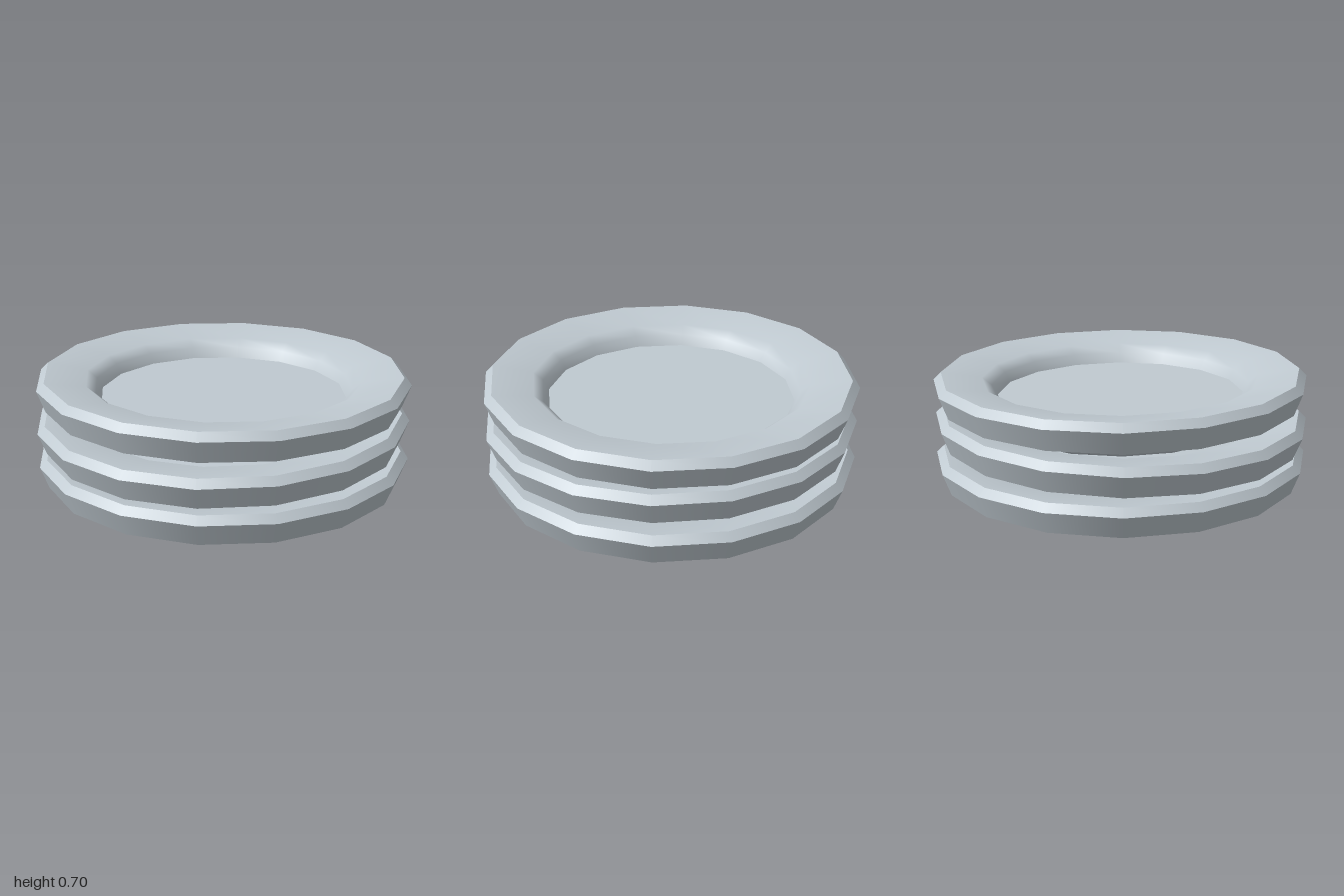
import * as THREE from 'three';

const SIDES = 16;
// Radii are measured to the flats; scale them out to the corners.
const CORNER = 1 / Math.cos(Math.PI / SIDES);

// Profile runs from the underside, around the rim and back to the centre.
// Each run is smooth in itself, with a sharp crease between runs.
const RUNS = [
  ['base', [[0, 0], [0.66, 0]]],
  ['foot', [[0.66, 0], [0.8, 0.11]]],
  ['rimUnderside', [[0.8, 0.11], [0.955, 0.11]]],
  ['rimSide', [[0.955, 0.11], [1, 0.23]]],
  ['rimBevel', [[1, 0.23], [0.96, 0.27]]],
  ['innerSlope', [[0.96, 0.27], [0.74, 0.237], [0.69, 0.195], [0.66, 0.14]]],
  ['well', [[0.66, 0.14], [0, 0.14]]],
];

function makePlate(name, material) {
  const plate = new THREE.Group();
  plate.name = name;
  for (const [part, points] of RUNS) {
    const profile = points.map(([r, y]) => new THREE.Vector2(r * CORNER, y));
    const mesh = new THREE.Mesh(
      new THREE.LatheGeometry(profile, SIDES, Math.PI / SIDES),
      material,
    );
    mesh.name = part;
    plate.add(mesh);
  }
  return plate;
}

export function createModel() {
  const model = new THREE.Group();
  model.name = 'plateStack';
  const ceramic = new THREE.MeshStandardMaterial({ color: 0xc0cad1 });
  ceramic.name = 'pale ceramic';

  // Stacked plates: height of the base and slight sideways tilt
  const stack = [
    ['bottomPlate', 0, 0],
    ['middlePlate', 0.21, 0.02],
    ['topPlate', 0.425, -0.008],
  ];
  for (const [name, y, tilt] of stack) {
    const plate = makePlate(name, ceramic);
    plate.position.y = y;
    plate.rotation.z = tilt;
    model.add(plate);
  }
  return model;
}
